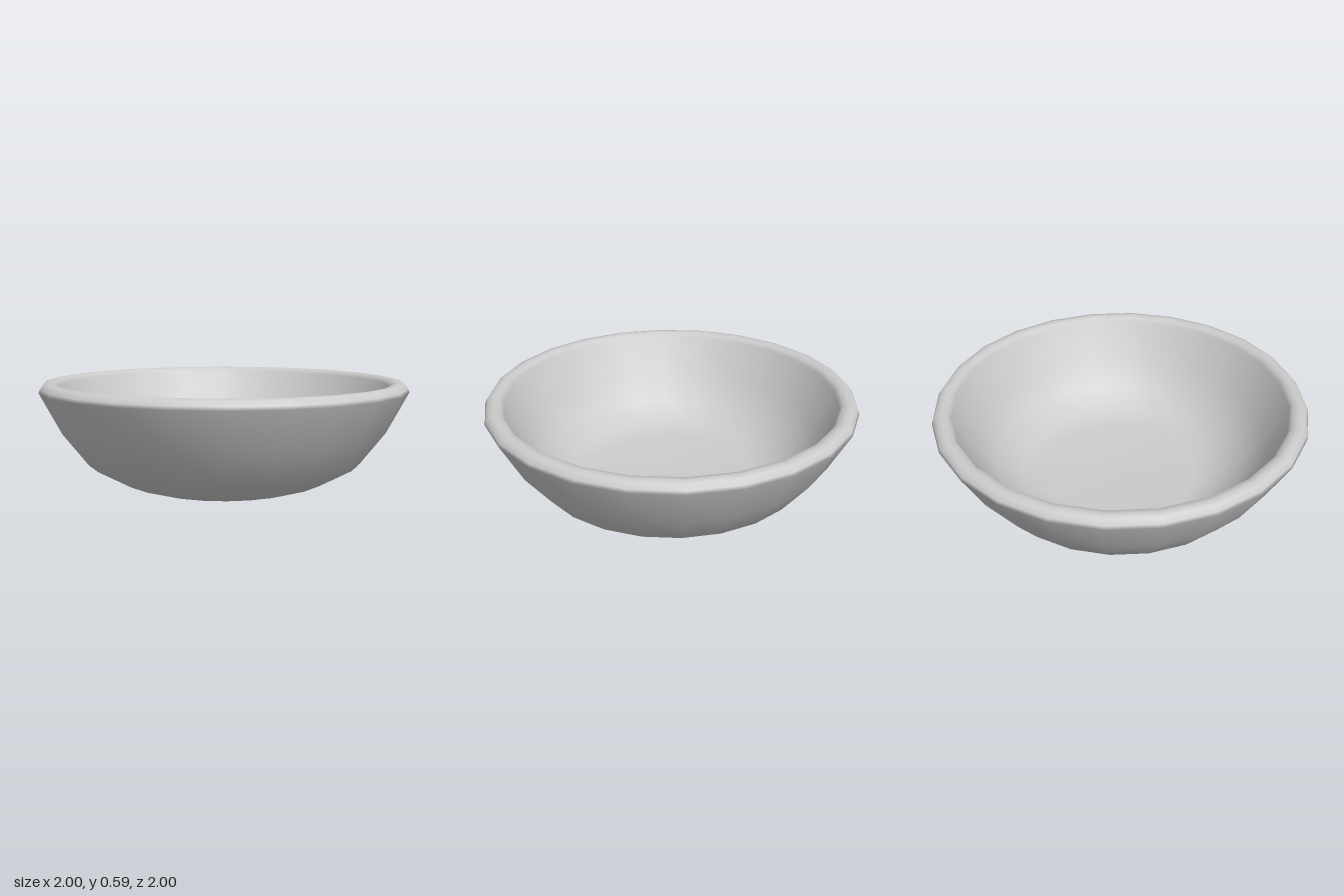
import * as THREE from 'three';

export function createModel() {
  const model = new THREE.Group();
  model.name = 'bowl';

  // One closed profile: underside, outer wall, rounded rim, inner wall, floor
  const profile = [
    [0, 0], [0.4, 0.003], [0.47, 0.013], [0.57, 0.045], [0.75, 0.145], [0.885, 0.32],
    [1, 0.54], [0.994, 0.558], [0.975, 0.583], [0.945, 0.588],
    [0.915, 0.582], [0.897, 0.56], [0.8, 0.36], [0.69, 0.215],
    [0.56, 0.125], [0.43, 0.09], [0, 0.083],
  ].map(([r, y]) => new THREE.Vector2(r, y));

  const bowl = new THREE.Mesh(
    new THREE.LatheGeometry(profile, 24),
    new THREE.MeshStandardMaterial({ color: 0xcccccc })
  );
  bowl.name = 'bowlShell';
  model.add(bowl);
  return model;
}
